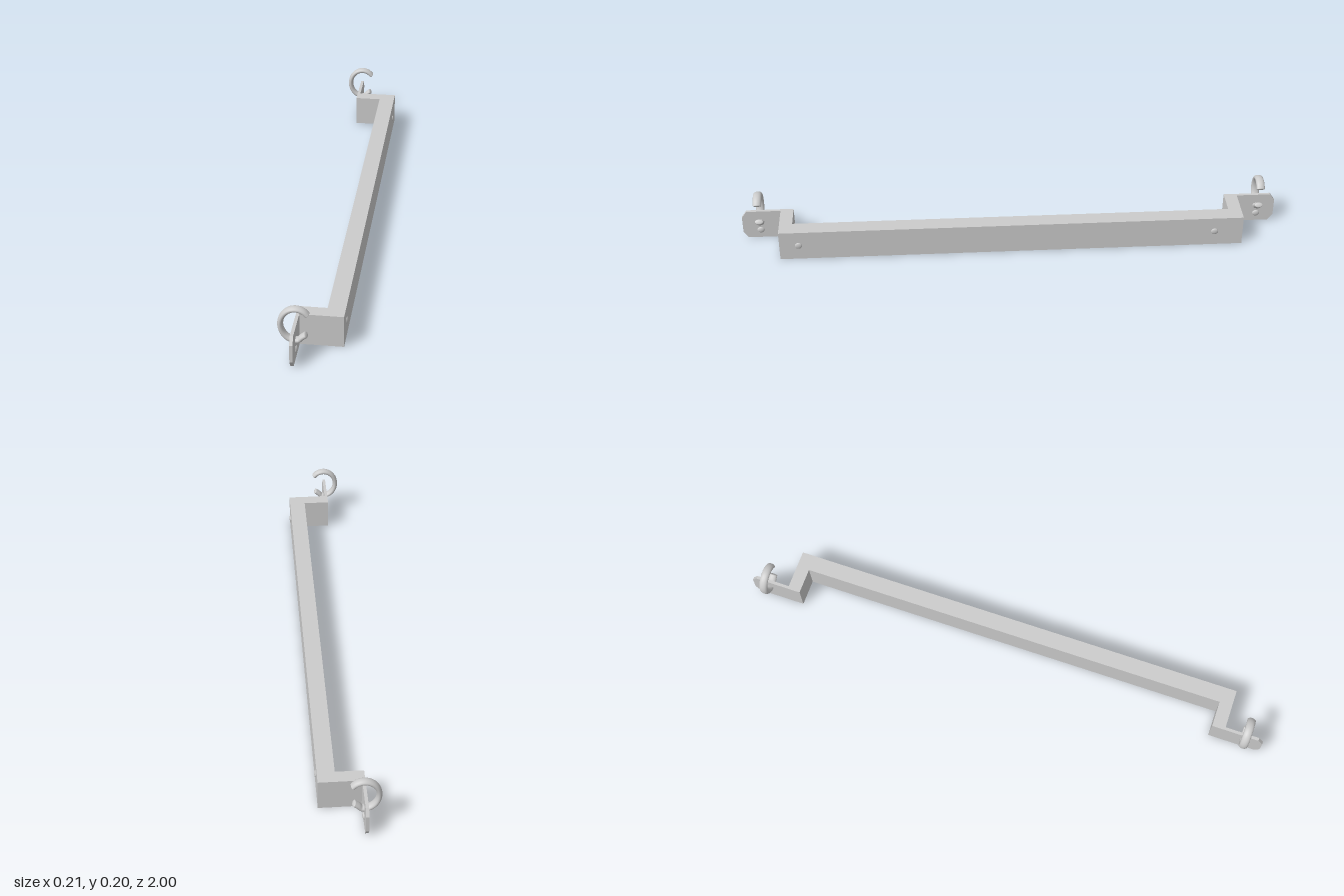
import * as THREE from 'three';

const material = new THREE.MeshStandardMaterial({ color: 0xcccccc });

function addMesh(parent, name, geometry) {
  const mesh = new THREE.Mesh(geometry, material);
  mesh.name = name;
  parent.add(mesh);
  return mesh;
}

function polygon(points) {
  return new THREE.Shape(points.map(([x, y]) => new THREE.Vector2(x, y)));
}

// Low domed head facing +x
function addScrew(parent, name, x, y, z, height) {
  const dome = new THREE.SphereGeometry(1, 20, 8, 0, Math.PI * 2, 0, Math.PI / 2);
  dome.rotateZ(-Math.PI / 2).scale(height, 0.0125, 0.0135);
  addMesh(parent, name, dome).position.set(x, y, z);
}

// Open hook: elliptical bow with a short bent tail through the plate
function createHook() {
  const hook = new THREE.Group();
  hook.name = 'hook';
  const radius = 0.0095;
  const points = [];
  for (let i = 0; i <= 16; i++) {
    const a = THREE.MathUtils.degToRad(42 + (i / 16) * 224);
    points.push(new THREE.Vector3(-0.045 + 0.05 * Math.cos(a), 0.128 + 0.058 * Math.sin(a), 0));
  }
  points.push(new THREE.Vector3(-0.036, 0.071, 0), new THREE.Vector3(-0.026, 0.081, 0), new THREE.Vector3(-0.013, 0.091, 0));
  const path = new THREE.CatmullRomCurve3(points);
  addMesh(hook, 'hookBow', new THREE.TubeGeometry(path, 64, radius, 14));
  // Blunt rounded tips
  for (const t of [0, 1]) {
    const tangent = path.getTangentAt(t).multiplyScalar(t ? 1 : -1);
    const cap = new THREE.SphereGeometry(radius, 14, 6, 0, Math.PI * 2, 0, Math.PI / 2).scale(1, 0.35, 1);
    const tip = addMesh(hook, 'hookTip', cap);
    tip.position.copy(path.getPointAt(t));
    tip.quaternion.setFromUnitVectors(new THREE.Vector3(0, 1, 0), tangent);
  }
  hook.scale.z = 1.65;
  return hook;
}

export function createModel() {
  const model = new THREE.Group();
  model.name = 'hookRail';
  const height = 0.115;

  // Long bar with an arm turned back at each end
  const plan = polygon([
    [0.1, -0.855], [0.1, 0.855], [-0.057, 0.855], [-0.057, 0.807],
    [0.04, 0.807], [0.04, -0.807], [-0.057, -0.807], [-0.057, -0.855],
  ]);
  const bar = new THREE.ExtrudeGeometry(plan, { depth: height, bevelEnabled: false });
  addMesh(model, 'bar', bar.rotateX(-Math.PI / 2));

  for (const s of [1, -1]) {
    const end = new THREE.Group();
    end.name = s > 0 ? 'frontBracket' : 'backBracket';
    model.add(end);

    // Thin end plate with clipped outer corners
    const outline = polygon([
      [0.85 * s, 0], [0.982 * s, 0], [s, 0.026],
      [s, height - 0.026], [0.982 * s, height], [0.85 * s, height],
    ]);
    const plate = new THREE.ExtrudeGeometry(outline, { depth: 0.011, bevelEnabled: false });
    addMesh(end, 'endPlate', plate.rotateY(-Math.PI / 2).translate(-0.046, 0, 0));

    const hook = createHook();
    hook.position.z = 0.934 * s;
    end.add(hook);
    addScrew(end, 'plateScrew', -0.046, 0.033, 0.934 * s, 0.006);
  }

  // Screws on the outer face of the bar
  for (const z of [0.785, -0.75]) addScrew(model, 'barScrew', 0.1, 0.058, z, 0.005);

  return model;
}
